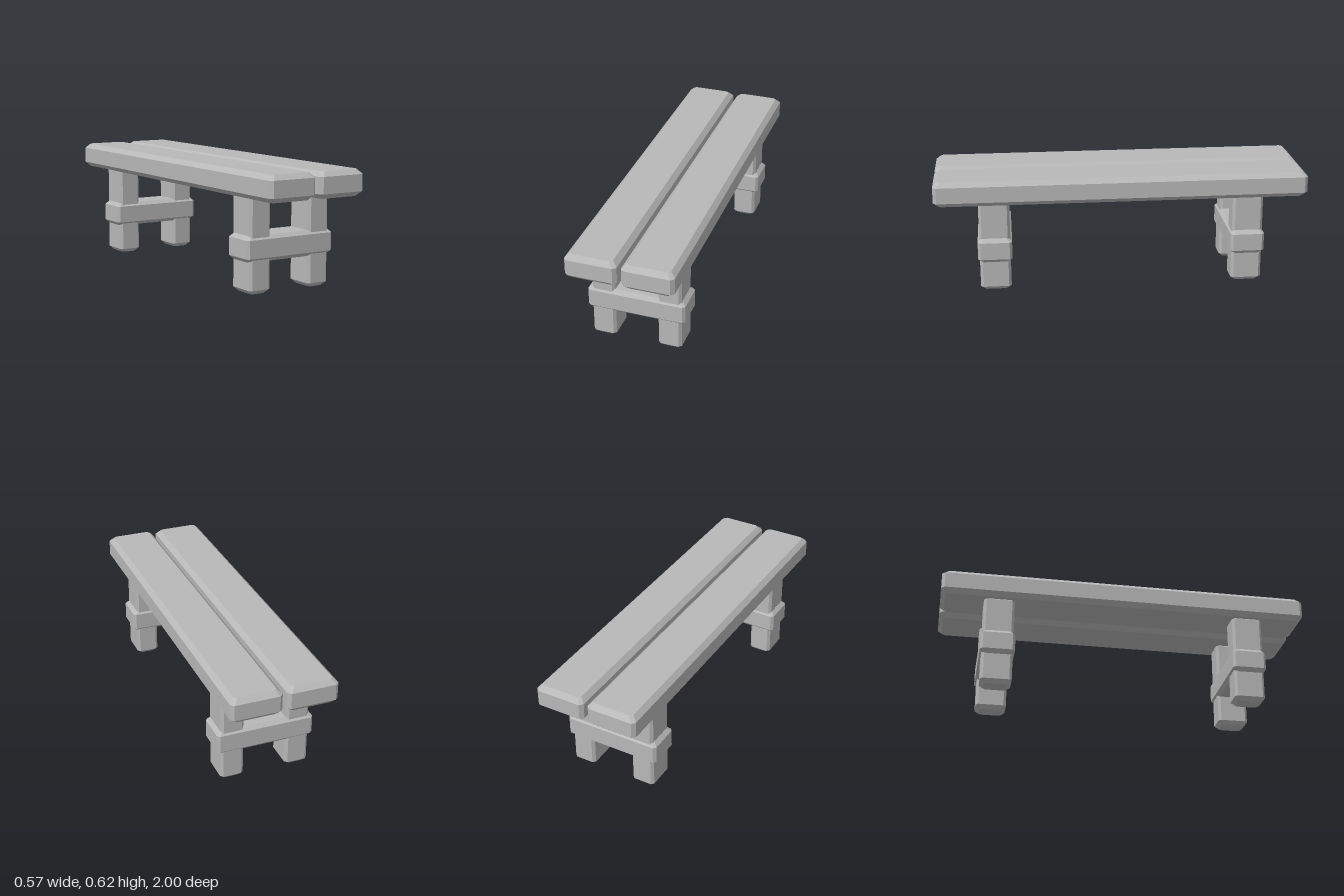
import * as THREE from 'three';
import { ConvexGeometry } from 'three/addons/geometries/ConvexGeometry.js';

// Chamfered beam: four octagonal rings, the end rings drawn in by the bevel
function beam(w, y0, y1, d, bevel, cut) {
  const rings = [[y0, bevel, cut * 0.8], [y0 + bevel, 0, cut], [y1 - bevel, 0, cut], [y1, bevel, cut * 0.8]];
  const points = [];
  for (const [y, inset, c] of rings) {
    const hx = w / 2 - inset, hz = d / 2 - inset;
    for (const sx of [-1, 1]) for (const sz of [-1, 1]) {
      points.push(new THREE.Vector3(sx * hx, y, sz * (hz - c)));
      points.push(new THREE.Vector3(sx * (hx - c), y, sz * hz));
    }
  }
  return new ConvexGeometry(points);
}

export function createModel() {
  const model = new THREE.Group();
  model.name = 'bench';
  const grey = new THREE.MeshStandardMaterial({ color: 0xb8b8b8 });
  grey.name = 'stone grey';

  const add = (name, geometry, x, z) => {
    const mesh = new THREE.Mesh(geometry, grey);
    mesh.name = name;
    mesh.position.set(x, 0, z);
    model.add(mesh);
  };

  const plank = beam(0.273, 0.491, 0.627, 2, 0.025, 0.018);
  const leg = beam(0.126, 0.002, 0.507, 0.166, 0.021, 0.014);
  const rail = beam(0.526, 0.166, 0.3, 0.184, 0.02, 0.014);

  // Two long seat planks with a narrow gap
  for (const [side, s] of [['left', 1], ['right', -1]]) add(side + 'SeatPlank', plank, s * 0.1475, 0);

  // A pair of legs joined by a cross rail near each end
  for (const [end, e] of [['front', 1], ['back', -1]]) {
    add(end + 'CrossRail', rail, 0, e * 0.685);
    for (const [side, s] of [['Left', 1], ['Right', -1]]) add(end + side + 'Leg', leg, s * 0.179, e * 0.685);
  }
  return model;
}
